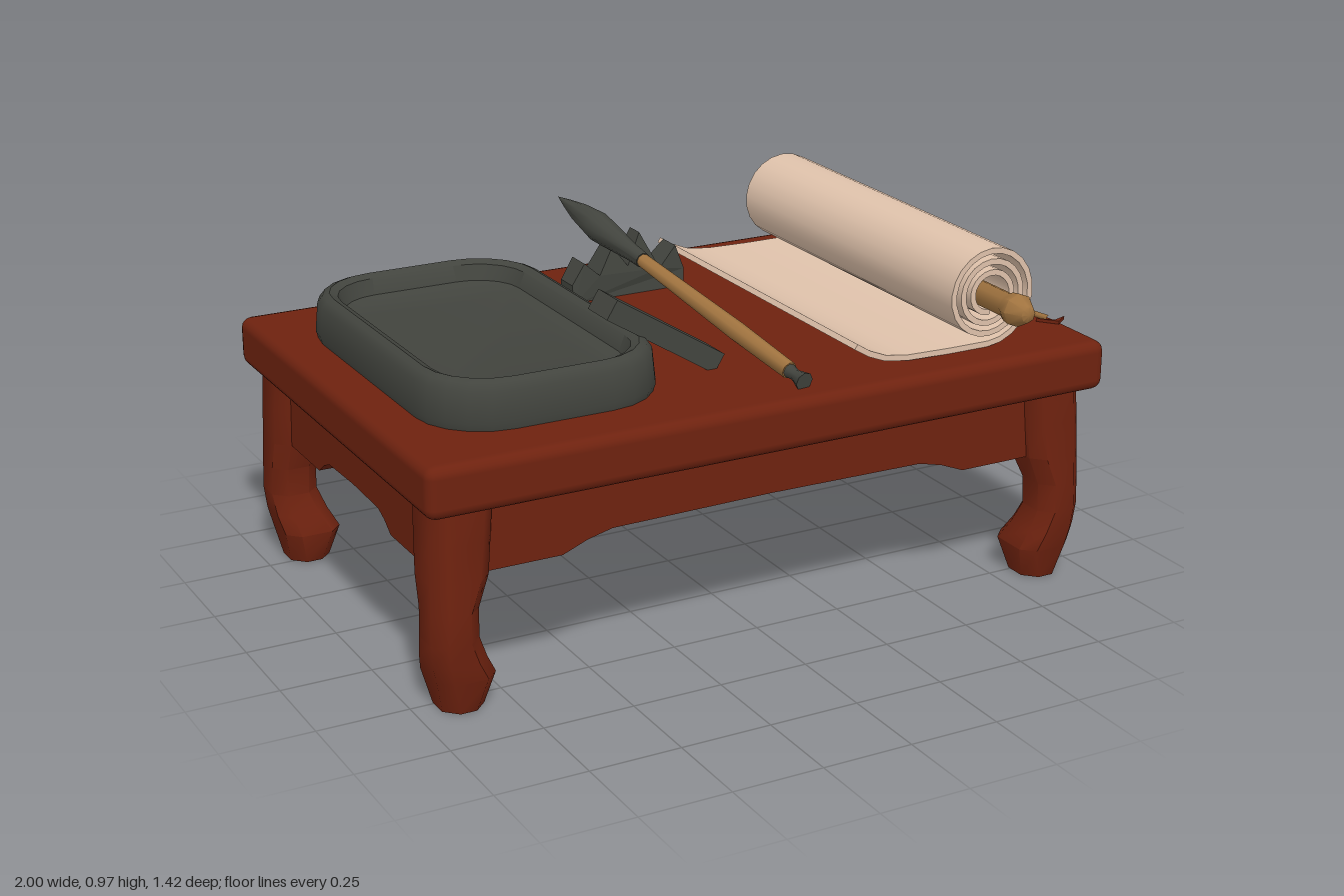
import * as THREE from 'three';
import { toCreasedNormals } from 'three/addons/utils/BufferGeometryUtils.js';
import { RoundedBoxGeometry } from 'three/addons/geometries/RoundedBoxGeometry.js';

const paint = (name, color) => {
  const m = new THREE.MeshStandardMaterial({ color });
  m.name = name;
  return m;
};

// Rectangle with rounded corners at height y, counter-clockwise from above
function ring(x0, x1, z0, z1, r, y, n) {
  const pts = [];
  [[x1 - r, z0 + r], [x0 + r, z0 + r], [x0 + r, z1 - r], [x1 - r, z1 - r]].forEach(([cx, cz], q) => {
    for (let i = 0; i <= n; i++) {
      const a = (q + i / n) * Math.PI / 2;
      pts.push([cx + r * Math.cos(a), y, cz - r * Math.sin(a)]);
    }
  });
  return pts;
}

// Skin stacked rings and close both ends
function loft(rings, crease = 0.6) {
  const n = rings[0].length, index = [], last = (rings.length - 1) * n;
  for (let i = 0; i < rings.length - 1; i++) {
    for (let j = 0; j < n; j++) {
      const a = i * n + j, b = i * n + (j + 1) % n;
      index.push(a, b, b + n, a, b + n, a + n);
    }
  }
  for (let j = 1; j < n - 1; j++) {
    index.push(0, j + 1, j, last, last + j, last + j + 1);
  }
  const g = new THREE.BufferGeometry();
  g.setAttribute('position', new THREE.Float32BufferAttribute(rings.flat(2), 3));
  g.setIndex(index);
  return toCreasedNormals(g, crease);
}

const extrude = (points, depth) => new THREE.ExtrudeGeometry(
  new THREE.Shape(points.map(([x, y]) => new THREE.Vector2(x, y))), { depth, bevelEnabled: false }
).translate(0, 0, -depth / 2);

const lathe = (points, sides) => toCreasedNormals(
  new THREE.LatheGeometry(points.map(([r, y]) => new THREE.Vector2(r, y)), sides), 0.9);

export function createModel() {
  const model = new THREE.Group();
  model.name = 'writingTable';
  const lacquer = paint('red lacquer', 0x6e220f);
  const stone = paint('dark stone', 0x42443e);
  const paper = paint('cream paper', 0xdfc2ab);
  const wood = paint('light wood', 0xa0733f);

  const add = (name, geometry, material, parent = model) => {
    const mesh = new THREE.Mesh(geometry, material);
    mesh.name = name;
    parent.add(mesh);
    return mesh;
  };
  const up = new THREE.Vector3(0, 1, 0);
  const aim = (object, from, to) => {
    object.position.copy(from);
    object.quaternion.setFromUnitVectors(up, to.clone().sub(from).normalize());
  };

  // Table top
  add('tableTop', new RoundedBoxGeometry(1.99, 0.138, 1.315, 2, 0.03), lacquer).position.set(0, 0.621, -0.008);

  // Curved legs: height, inner x, outer x, inner z, outer z
  const legRows = [
    [0, 0.82, 0.935, 0.465, 0.595], [0.09, 0.795, 0.955, 0.44, 0.615], [0.14, 0.82, 0.967, 0.465, 0.62],
    [0.2, 0.842, 0.973, 0.485, 0.625], [0.28, 0.84, 0.97, 0.482, 0.625], [0.36, 0.81, 0.968, 0.458, 0.62],
    [0.46, 0.8, 0.965, 0.45, 0.615], [0.57, 0.79, 0.96, 0.44, 0.61],
  ];
  for (const sx of [-1, 1]) {
    for (const sz of [-1, 1]) {
      const rings = legRows.map(([y, xi, xo, zi, zo]) => ring(
        Math.min(sx * xi, sx * xo), Math.max(sx * xi, sx * xo),
        Math.min(sz * zi, sz * zo), Math.max(sz * zi, sz * zo), 0.035, y, 1));
      add((sz > 0 ? 'front' : 'back') + (sx > 0 ? 'Left' : 'Right') + 'Leg', loft(rings, 0.8), lacquer)
        .position.z = -0.008;
    }
  }

  // Shaped aprons between the legs
  const apron = (half, foot, arch) => extrude([
    [-half, 0.57], [-half, 0.36], [-foot, 0.36], [-(foot + arch) / 2, 0.388], [-arch, 0.405], [0, 0.41],
    [arch, 0.405], [(foot + arch) / 2, 0.388], [foot, 0.36], [half, 0.36], [half, 0.57]], 0.07);
  for (const s of [-1, 1]) {
    add(s > 0 ? 'frontApron' : 'backApron', apron(0.88, 0.6, 0.46), lacquer).position.z = s * 0.535 - 0.008;
    const side = add(s > 0 ? 'leftApron' : 'rightApron', apron(0.53, 0.25, 0.17), lacquer);
    side.rotation.y = Math.PI / 2;
    side.position.set(s * 0.895, 0, -0.008);
  }

  // Ink stone: outer wall, rounded rim, hollow basin
  const stoneRows = [
    [0.685, 0, 0.19], [0.71, -0.006, 0.19], [0.79, 0, 0.19], [0.81, 0.014, 0.18],
    [0.817, 0.03, 0.17], [0.807, 0.052, 0.15], [0.765, 0.07, 0.13], [0.755, 0.1, 0.11],
  ];
  add('inkStone', loft(stoneRows.map(([y, d, r]) =>
    ring(-0.875 + d, -0.23 - d, -0.515 + d, 0.49 - d, r, y, 5)), 0.75), stone);

  // Ink stick leaning on the rim
  const stick = add('inkStick', new THREE.BoxGeometry(0.37, 0.058, 0.108), stone);
  stick.position.set(-0.187, 0.8, 0.287);
  stick.rotation.z = -0.56;

  // Brush rest with peaks, thinner towards the top and the ends
  const rest = extrude([
    [-0.125, 0.685], [0.225, 0.685], [0.228, 0.74], [0.2, 0.812], [0.145, 0.755], [0.088, 0.865],
    [0.045, 0.775], [0, 0.835], [-0.045, 0.76], [-0.09, 0.8], [-0.128, 0.74]], 0.11);
  const p = rest.attributes.position;
  for (let i = 0; i < p.count; i++) {
    const taper = 1 - 2.8 * Math.max(0, p.getY(i) - 0.69);
    const ends = Math.abs(p.getX(i) - 0.05) > 0.16 ? 0.75 : 1;
    p.setZ(i, p.getZ(i) * taper * ends);
  }
  rest.computeVertexNormals();
  add('brushRest', rest, stone).position.z = -0.365;

  // Brush lying from the rest down to the table
  const brush = new THREE.Group();
  brush.name = 'brush';
  aim(brush, new THREE.Vector3(0.085, 0.708, 0.58), new THREE.Vector3(-0.045, 0.925, -0.585));
  model.add(brush);
  add('brushCap', lathe([[0, 0], [0.026, 0], [0.015, 0.04], [0.021, 0.075], [0, 0.075]], 8), stone, brush);
  add('brushHandle', lathe([[0, 0.065], [0.023, 0.065], [0.026, 0.3], [0.019, 0.76], [0, 0.76]], 8), wood, brush);
  add('brushHead', lathe([[0, 0.75], [0.022, 0.75], [0.024, 0.8], [0.038, 0.93], [0.042, 0.98],
    [0.03, 1.07], [0.014, 1.14], [0, 1.192]], 10), stone, brush);

  // Paper scroll: a loose sheet that winds into a spiral
  const cx = 0.685, cy = 0.836;
  const path = [[0.268, 0.758], [0.31, 0.732], [0.36, 0.712], [0.43, 0.702], [0.56, 0.699]];
  for (let i = 0; i <= 66; i++) {
    const t = i / 22, r = 0.137 - 0.03 * t, a = t * Math.PI * 2 - Math.PI / 2;
    path.push([cx + r * Math.cos(a), cy + r * Math.sin(a)]);
  }
  const offset = d => path.map(([x, y], i) => {
    const a = path[Math.max(i - 1, 0)], b = path[Math.min(i + 1, path.length - 1)];
    const dx = b[0] - a[0], dy = b[1] - a[1], l = Math.hypot(dx, dy);
    return [x - dy / l * d, y + dx / l * d];
  });
  add('paperScroll', toCreasedNormals(
    extrude([...offset(-0.008), ...offset(0.008).reverse()], 1.09), 0.6), paper).position.z = -0.01;

  // Scroll rod with a knob on each end
  const rod = add('scrollRod', lathe([[0, -0.71], [0.022, -0.705], [0.046, -0.66], [0.042, -0.635], [0.034, -0.615],
    [0.034, 0.615], [0.042, 0.635], [0.046, 0.66], [0.022, 0.705], [0, 0.71]], 8), wood);
  rod.rotation.x = Math.PI / 2;
  rod.position.set(cx + 0.005, 0.828, -0.003);

  // Tie cord lying beside the scroll, with flat arrow-shaped ends
  const cordPoints = [[0.925, -0.5], [0.905, -0.3], [0.875, -0.04], [0.89, 0.08], [0.925, 0.27], [0.96, 0.43]]
    .map(([x, z]) => new THREE.Vector3(x, 0.696, z));
  add('tieCord', new THREE.TubeGeometry(new THREE.CatmullRomCurve3(cordPoints), 24, 0.009, 6), wood);
  [[0.925, -0.505, 0], [0.962, 0.45, Math.PI]].forEach(([x, z, turn], i) => {
    const end = add(i ? 'frontCordEnd' : 'backCordEnd',
      extrude([[0, 0.025], [-0.04, -0.005], [0, 0.008], [0.04, -0.025]], 0.009), i ? lacquer : wood);
    end.rotation.set(-Math.PI / 2, 0, turn);
    end.position.set(x, 0.696, z);
  });
  return model;
}
